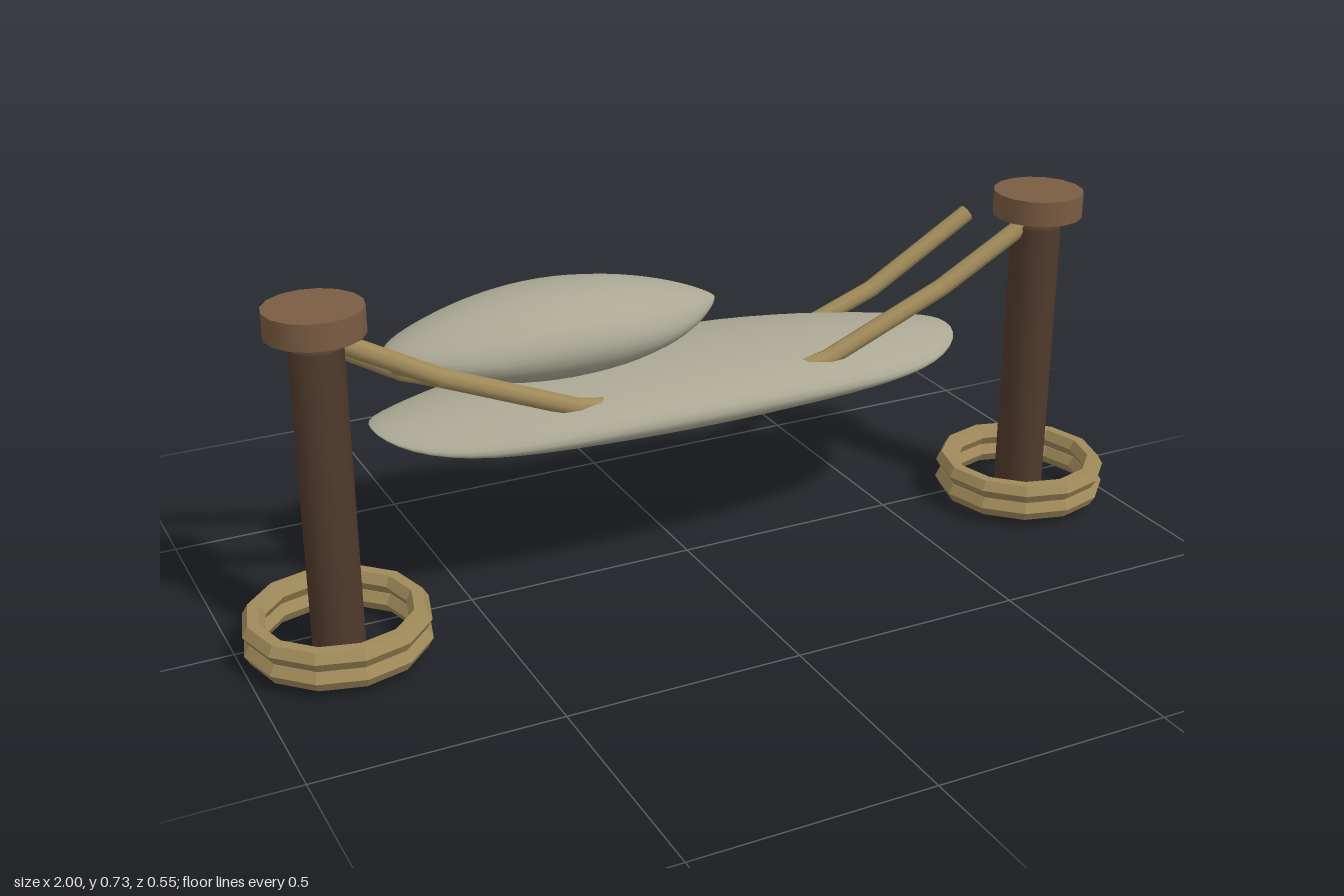
import * as THREE from 'three';
import { toCreasedNormals } from 'three/addons/utils/BufferGeometryUtils.js';

const postWood = new THREE.MeshStandardMaterial({ color: 0x503a2c });
const capWood = new THREE.MeshStandardMaterial({ color: 0x7a5c42 });
const rope = new THREE.MeshStandardMaterial({ color: 0xa08a5a });
const cloth = new THREE.MeshStandardMaterial({ color: 0xaaa893 });
for (const [m, n] of [[postWood, 'dark post wood'], [capWood, 'cap wood'], [rope, 'rope'], [cloth, 'cloth']]) m.name = n;

function add(parent, name, geometry, material, x = 0, y = 0, z = 0) {
  const mesh = new THREE.Mesh(geometry, material);
  mesh.name = name;
  mesh.position.set(x, y, z);
  parent.add(mesh);
  return mesh;
}

// Closed cushion: elliptical sections along x, shaped by width(s), thick(s) and rise(s, v)
function cushion(halfLength, width, thick, rise, rows = 32, sides = 32) {
  const pos = [], index = [];
  for (let i = 0; i <= rows; i++) {
    const s = -Math.cos((i / rows) * Math.PI);
    for (let j = 0; j < sides; j++) {
      const a = (j / sides) * Math.PI * 2, v = Math.cos(a);
      pos.push(s * halfLength, thick(s) * Math.sin(a) + rise(s, v * width(s)), v * width(s));
      if (i === rows) continue;
      const k = (j + 1) % sides, p = i * sides, q = p + sides;
      if (i < rows - 1) index.push(p + j, q + j, q + k);
      if (i > 0) index.push(p + j, q + k, p + k);
      if (i === rows - 1) index.push(p + j, q + j, p + k);
    }
  }
  const g = new THREE.BufferGeometry();
  g.setAttribute('position', new THREE.Float32BufferAttribute(pos, 3));
  g.setIndex(index);
  g.computeVertexNormals();
  return g;
}

// Straight rod between two points, eight sided
function rod(parent, name, a, b, radius) {
  const from = new THREE.Vector3(...a), to = new THREE.Vector3(...b);
  const dir = to.clone().sub(from);
  const g = new THREE.CylinderGeometry(radius, radius, dir.length() + radius * 0.3, 8);
  const mesh = add(parent, name, g, rope);
  mesh.position.copy(from).add(to).multiplyScalar(0.5);
  mesh.quaternion.setFromUnitVectors(new THREE.Vector3(0, 1, 0), dir.normalize());
}

// Rope made of straight pieces, mirrored around x = 0
function ropeLine(parent, name, half, z) {
  const group = new THREE.Group();
  group.name = name;
  const points = [...half.map(([x, y]) => [-x, y, z]), ...half.slice().reverse().map(([x, y]) => [x, y, z])];
  for (let i = 0; i + 1 < points.length; i++) rod(group, name + 'Piece', points[i], points[i + 1], 0.02);
  parent.add(group);
}

export function createModel() {
  const model = new THREE.Group();
  model.name = 'hammock';

  // Posts with caps and double rope rings at the foot
  const profile = [[0, 0], [0.024, 0], [0.054, 0.02], [0.054, 0.655], [0.036, 0.68], [0, 0.68]]
    .map(([r, y]) => new THREE.Vector2(r, y));
  const postGeo = toCreasedNormals(new THREE.LatheGeometry(profile, 12), 0.6);
  const ringGeo = toCreasedNormals(new THREE.TorusGeometry(0.166, 0.0235, 6, 12).rotateX(Math.PI / 2), 0.4);
  for (const side of [-1, 1]) {
    const support = new THREE.Group();
    support.name = side > 0 ? 'leftSupport' : 'rightSupport';
    support.position.set(side * 0.81, 0, 0.085);
    add(support, 'post', postGeo, postWood);
    add(support, 'cap', new THREE.CylinderGeometry(0.097, 0.097, 0.054, 16), capWood, 0, 0.705, 0);
    for (const y of [0.04, 0.082]) add(support, 'footRing', ringGeo, rope, 0, y, 0);
    model.add(support);
  }

  // Sling: thin padded oval whose end rims arch over
  const slingWidth = s => 0.225 * Math.pow(Math.max(0, 1 - Math.pow(Math.abs(s), 2.4)), 0.45);
  const slingThick = s => 0.067 * Math.pow(Math.max(0, 1 - s * s), 0.75);
  const slingRise = (s, z) => Math.pow(Math.abs(s), 3) * (0.01 - 1.6 * z * z);
  add(model, 'sling', cushion(0.675, slingWidth, slingThick, slingRise), cloth, 0, 0.393, -0.05);

  // Pillow: blunt at the outer end, pointed toward the middle
  const pillowWidth = s => 0.16 * Math.pow(Math.max(0, 1 - s * s), s > 0 ? 0.68 : 0.5);
  const pillowThick = s => 0.093 * Math.pow(Math.max(0, 1 - s * s), 0.85);
  const pillowRise = (s, z) => s * s * (0.01 - 2 * z * z);
  add(model, 'pillow', cushion(0.362, pillowWidth, pillowThick, pillowRise), cloth, -0.272, 0.55, -0.055);

  // Front and back suspension ropes
  ropeLine(model, 'frontRope', [[0.79, 0.665], [0.57, 0.545], [0.29, 0.43], [0.12, 0.4]], 0.085);
  ropeLine(model, 'backRope', [[0.81, 0.6], [0.56, 0.455], [0.3, 0.36], [0.12, 0.305]], -0.185);

  // Cross cords joining the two ropes
  rod(model, 'crossCord', [-0.58, 0.55, 0.085], [-0.58, 0.466, -0.185], 0.013);
  rod(model, 'crossCord', [-0.12, 0.4, 0.085], [-0.12, 0.305, -0.185], 0.013);

  return model;
}
